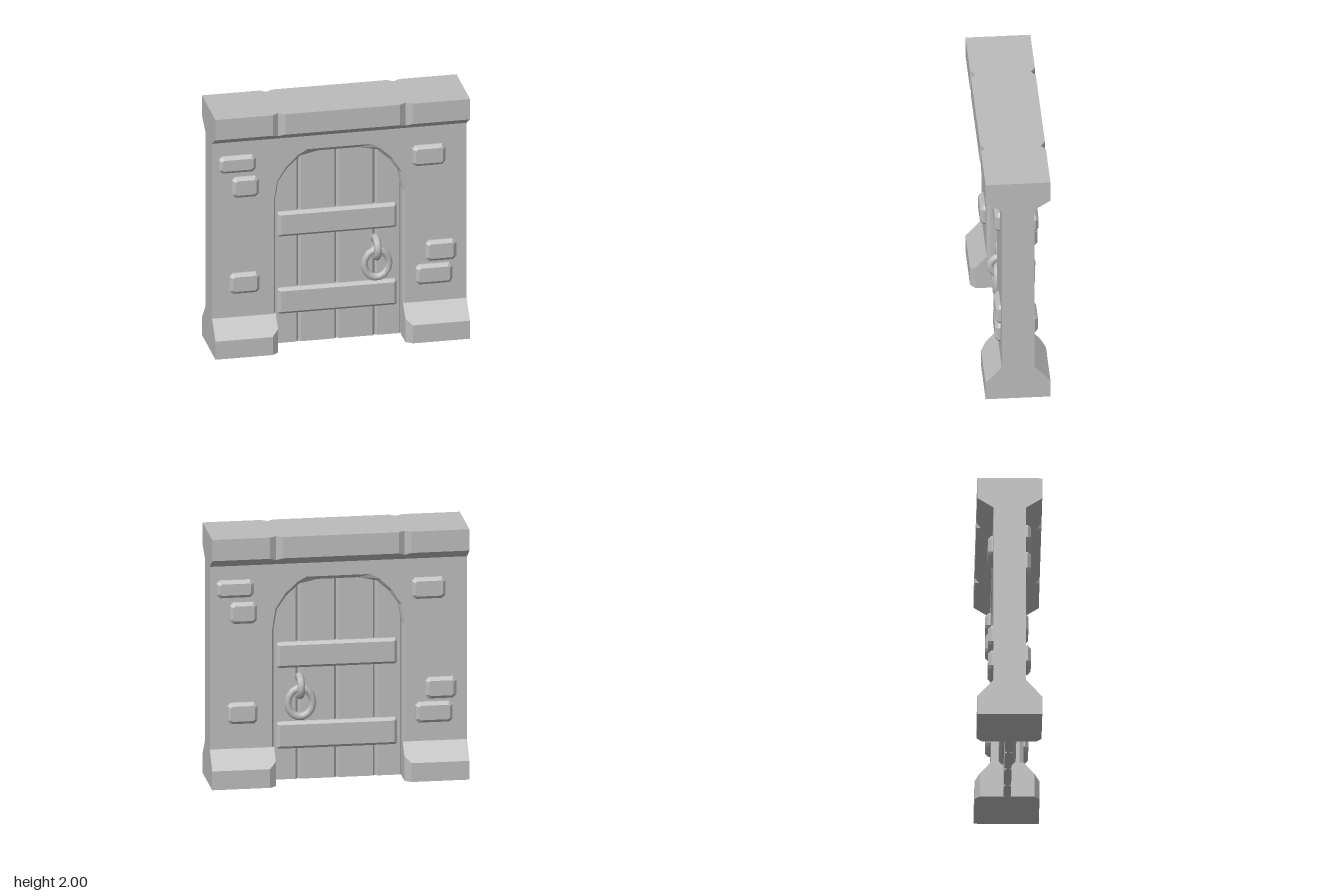
import * as THREE from 'three';

const stone = new THREE.MeshStandardMaterial({ color: 0xbcbcbc, side: THREE.DoubleSide });
stone.name = 'grey';

function add(parent, name, geometry, x = 0, y = 0, z = 0) {
  const mesh = new THREE.Mesh(geometry, stone);
  mesh.name = name;
  mesh.position.set(x, y, z);
  parent.add(mesh);
  return mesh;
}

// Joins equal-length rows of points into faces; caps close convex end sections.
function loft(rows, closed) {
  const n = rows[0].length, index = [];
  for (let i = 0; i < rows.length - 1; i++) {
    for (let j = 0; j < (closed ? n : n - 1); j++) {
      const a = i * n + j, b = i * n + (j + 1) % n;
      index.push(a, a + n, b + n, a, b + n, b);
    }
  }
  if (closed) {
    const e = (rows.length - 1) * n;
    for (let j = 1; j < n - 1; j++) index.push(0, j, j + 1, e, e + j + 1, e + j);
  }
  const g = new THREE.BufferGeometry();
  g.setAttribute('position', new THREE.Float32BufferAttribute(rows.flat(2), 3));
  g.setIndex(index);
  const flat = g.toNonIndexed();
  flat.computeVertexNormals();
  return flat;
}

// Block with bevelled face and clipped corners, lying on z = 0
function bevelBlock(w, h, depth, bevel, clip) {
  const x = w / 2 - bevel, y = h / 2 - bevel;
  const shape = new THREE.Shape([
    [x - clip, -y], [x, -y + clip], [x, y - clip], [x - clip, y],
    [-x + clip, y], [-x, y - clip], [-x, -y + clip], [-x + clip, -y],
  ].map(p => new THREE.Vector2(...p)));
  const g = new THREE.ExtrudeGeometry(shape, {
    depth: depth - bevel, bevelEnabled: true, bevelSize: bevel, bevelThickness: bevel, bevelSegments: 1,
  });
  return g;
}

const mirrorArch = half => [...half, ...half.slice().reverse().map(([x, y]) => [-x, y])];

export function createModel() {
  const model = new THREE.Group();
  model.name = 'stoneDoorway';

  // Wall with arched opening
  const outer = mirrorArch([[0.515, 0], [0.515, 1.23], [0.49, 1.39], [0.415, 1.51], [0.32, 1.6], [0.25, 1.64]]);
  const inner = mirrorArch([[0.5, 0], [0.5, 1.23], [0.475, 1.38], [0.4, 1.49], [0.3, 1.58], [0.16, 1.61]]);
  const outline = [[1, 0], [1, 1.78], [-1, 1.78], [-1, 0], ...outer.slice().reverse()];
  const wall = new THREE.ExtrudeGeometry(
    new THREE.Shape(outline.map(p => new THREE.Vector2(...p))), { depth: 0.25, bevelEnabled: false });
  add(model, 'wall', wall, 0, 0, -0.125);

  // Bevelled reveal lining the arch
  add(model, 'archReveal', loft(outer.map(([x, y], i) => [
    [x, y, 0.125], [...inner[i], 0.095], [...inner[i], -0.095], [x, y, -0.125],
  ]), false));

  // Lintel, notched at two joints
  const lintelRow = (x, d) => {
    const y = 1.75 + (d - 0.125) * 0.64;
    return [[x, 1.75, -0.125], [x, 1.75, 0.125], [x, y, d], [x, 2, d], [x, 2, -d], [x, y, -d]];
  };
  const joints = [[-1, 0.25], [-0.55, 0.25], [-0.5, 0.215], [-0.45, 0.25],
    [0.45, 0.25], [0.5, 0.215], [0.55, 0.25], [1, 0.25]];
  add(model, 'lintel', loft(joints.map(j => lintelRow(...j)), true));

  // Sloped feet with chamfered inner corners
  const footRow = (x, d) => {
    const y = 0.29 - (d - 0.125) * 1.12;
    return [[x, 0, -d], [x, 0, d], [x, y, d], [x, 0.29, 0.125], [x, 0.29, -0.125], [x, y, -d]];
  };
  add(model, 'rightFoot', loft([footRow(-1, 0.25), footRow(-0.55, 0.25), footRow(-0.5, 0.21)], true));
  add(model, 'leftFoot', loft([footRow(0.5, 0.21), footRow(0.55, 0.25), footRow(1, 0.25)], true));

  // Raised bricks: x0, x1, y0, y1; the back set is the front set turned around
  const bricks = [
    [-0.95, -0.66, 1.5, 1.64], [-0.845, -0.635, 1.29, 1.46], [0.57, 0.83, 1.43, 1.6],
    [0.675, 0.915, 0.63, 0.8], [0.595, 0.885, 0.44, 0.605], [-0.865, -0.63, 0.49, 0.66],
  ];
  for (const side of ['front', 'back']) {
    const set = new THREE.Group();
    set.name = side + 'Bricks';
    if (side === 'back') set.rotation.y = Math.PI;
    for (const [x0, x1, y0, y1] of bricks) {
      add(set, 'brick', bevelBlock(x1 - x0, y1 - y0, 0.06, 0.025, 0.012),
        (x0 + x1) / 2, (y0 + y1) / 2, 0.105);
    }
    model.add(set);
  }

  // Door planks with chamfered edges
  const door = new THREE.Group();
  door.name = 'door';
  model.add(door);
  const seams = [-0.51, -0.3, 0, 0.3, 0.51], t = 0.028, e = 0.006, c = 0.018;
  for (let i = 0; i < 4; i++) {
    const a = seams[i], b = seams[i + 1];
    const shape = new THREE.Shape([
      [a, -e], [a + c, -t], [b - c, -t], [b, -e], [b, e], [b - c, t], [a + c, t], [a, e],
    ].map(p => new THREE.Vector2(...p)));
    const plank = new THREE.ExtrudeGeometry(shape, { depth: 1.63, bevelEnabled: false });
    plank.rotateX(-Math.PI / 2);
    add(door, 'plank', plank);
  }

  // Cross bars and ring handles on both faces
  for (const s of [1, -1]) {
    for (const [y0, y1] of [[0.895, 1.1], [0.25, 0.465]]) {
      const bar = add(door, 'crossBar', bevelBlock(0.935, y1 - y0, 0.065, 0.022, 0.001), 0, (y0 + y1) / 2, 0);
      if (s < 0) bar.rotation.y = Math.PI;
    }
    const loop = new THREE.TorusGeometry(0.076, 0.03, 10, 18);
    loop.rotateY(Math.PI / 2);
    add(door, 'handleLoop', loop, 0.295, 0.76, s * 0.085);
    const ring = add(door, 'handleRing', new THREE.TorusGeometry(0.098, 0.027, 8, 14), 0.295, 0.635, s * 0.115);
    ring.scale.y = 1.16;
  }
  return model;
}
